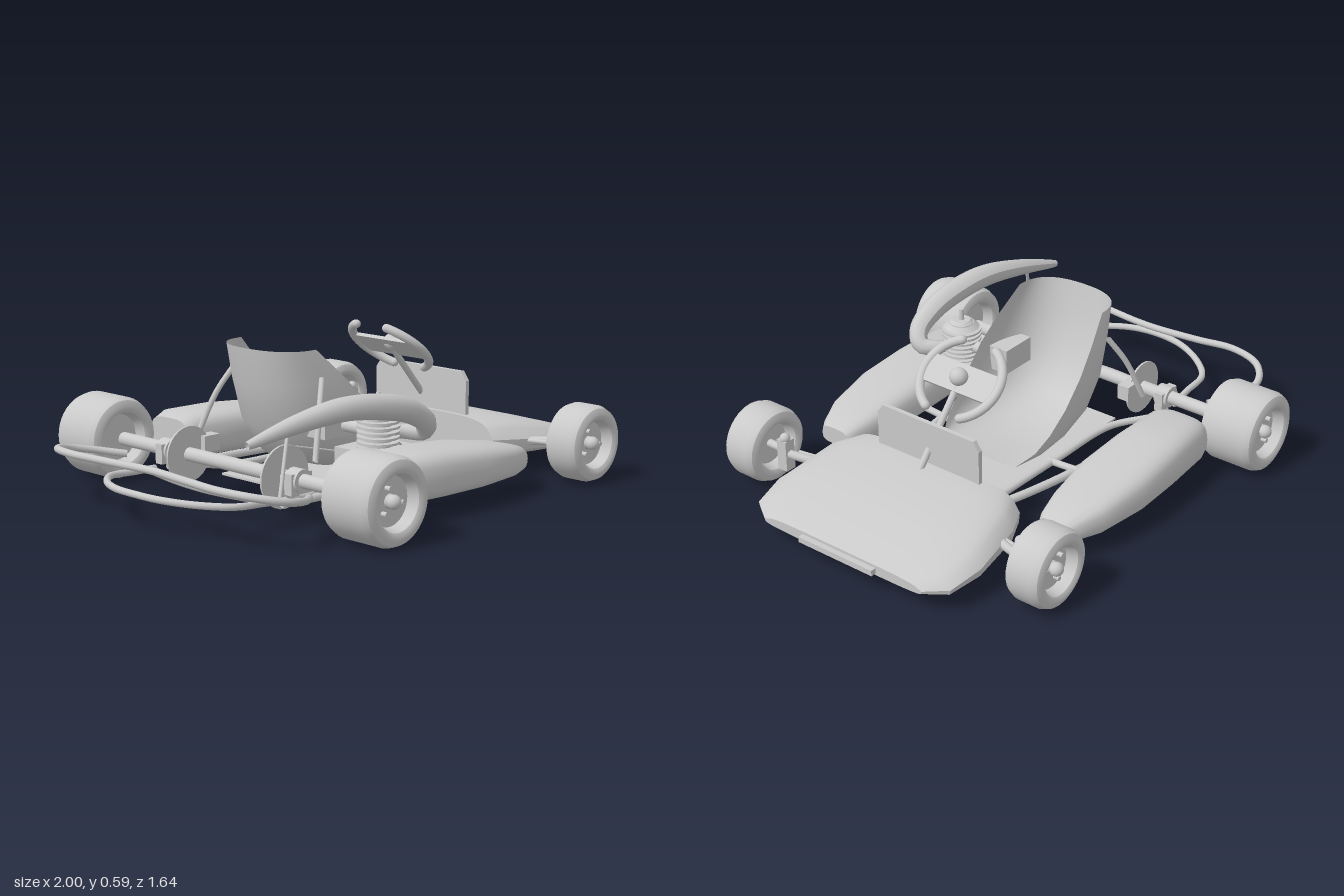
import * as THREE from 'three';
import { toCreasedNormals } from 'three/addons/utils/BufferGeometryUtils.js';

const V = (p) => new THREE.Vector3(...p);

export function createModel() {
  const kart = new THREE.Group();
  kart.name = 'goKart';
  const grey = new THREE.MeshStandardMaterial({ color: 0xcacaca, side: THREE.DoubleSide });
  grey.name = 'bodyGrey';

  function add(name, geo, pos = [0, 0, 0], parent = kart) {
    const m = new THREE.Mesh(geo, grey);
    m.name = name;
    m.position.set(...pos);
    parent.add(m);
    return m;
  }
  const box = (name, size, pos, parent) => add(name, new THREE.BoxGeometry(...size), pos, parent);

  // Round tube through points; taper(u) may vary its radius
  function tube(name, pts, r, taper) {
    const curve = new THREE.CatmullRomCurve3(pts.map(V), false, 'centripetal');
    const segs = pts.length * 7;
    const geo = new THREE.TubeGeometry(curve, segs, r, 10);
    if (taper) {
      const p = geo.attributes.position, v = new THREE.Vector3();
      for (let i = 0; i < p.count; i++) {
        const u = Math.floor(i / 11) / segs, c = curve.getPointAt(u);
        v.fromBufferAttribute(p, i).sub(c).multiplyScalar(taper(u)).add(c);
        p.setXYZ(i, v.x, v.y, v.z);
      }
      geo.computeVertexNormals();
    }
    return add(name, geo);
  }
  const mirror = (pts) => pts.map(([x, y, z]) => [x, y, -z]);
  const pair = (name, pts, r) => { tube(name, pts, r); tube(name, mirror(pts), r); };
  const across = (half) => [...half, ...mirror(half.slice(0, -1)).reverse()];
  // Straight rod
  const rod = (name, a, b, r) => tube(name, [a, V(a).lerp(V(b), 0.5).toArray(), b], r);
  // Cylinder along z
  function disc(name, r, len, pos, sides = 28) {
    add(name, new THREE.CylinderGeometry(r, r, len, sides), pos).rotation.x = Math.PI / 2;
  }

  // Surface through rings of points
  function loft(rings, closed, capped) {
    const n = rings[0].length, verts = rings.flat(2), idx = [];
    for (let i = 0; i < rings.length - 1; i++)
      for (let j = 0; j < (closed ? n : n - 1); j++) {
        const a = i * n + j, b = i * n + (j + 1) % n;
        idx.push(a, b, a + n, b, b + n, a + n);
      }
    if (capped) {
      const last = (rings.length - 1) * n;
      for (let j = 1; j < n - 1; j++) idx.push(0, j + 1, j, last, last + j, last + j + 1);
    }
    const g = new THREE.BufferGeometry();
    g.setAttribute('position', new THREE.Float32BufferAttribute(verts, 3));
    g.setIndex(idx);
    return g;
  }

  // Rounded body shell, stations are [x, bottom, top, zInner, zOuter]
  function shell(name, stations, power, lean) {
    const pw = (t) => Math.sign(t) * Math.abs(t) ** power;
    const rings = stations.map(([x, y0, y1, z0, z1]) => Array.from({ length: 28 }, (_, k) => {
      const a = k / 28 * Math.PI * 2, c = pw(Math.cos(a)), s = pw(Math.sin(a));
      const w = (z1 - z0) / 2 * (1 - lean * Math.max(0, c));
      return [x, (y0 + y1) / 2 + c * (y1 - y0) / 2, (z0 + z1) / 2 + s * w];
    }));
    add(name, toCreasedNormals(loft(rings, true, true), 0.6));
  }

  // Nose fairing
  shell('noseFairing', [
    [0.455, 0.072, 0.225, -0.39, 0.39], [0.56, 0.065, 0.225, -0.44, 0.44],
    [0.78, 0.065, 0.177, -0.475, 0.47], [0.92, 0.067, 0.137, -0.455, 0.44],
    [0.978, 0.075, 0.115, -0.375, 0.355]], 0.42, 0.12);
  box('noseLip', [0.05, 0.022, 0.34], [0.975, 0.093, 0]);

  // Side pods
  const pod = [
    [-0.365, 0.078, 0.225, 0.42, 0.64], [-0.31, 0.07, 0.245, 0.405, 0.658],
    [-0.1, 0.066, 0.24, 0.39, 0.672], [0.1, 0.066, 0.222, 0.385, 0.676],
    [0.3, 0.068, 0.19, 0.41, 0.645], [0.4, 0.072, 0.165, 0.435, 0.6], [0.43, 0.08, 0.15, 0.45, 0.58]];
  shell('leftSidePod', pod, 0.55, 0.08);
  shell('rightSidePod', pod.map(([x, a, b, z0, z1]) => [x, a, b, -z1 - 0.004, -z0 - 0.004]), 0.55, 0.08);

  // Bucket seat, stations are [centreX, centreY, rimX, rimY, halfWidth]
  const seat = [
    [-0.455, 0.57, -0.3, 0.57, 0.195], [-0.43, 0.43, -0.2, 0.475, 0.22],
    [-0.385, 0.27, -0.11, 0.385, 0.235], [-0.3, 0.15, -0.02, 0.29, 0.235],
    [-0.15, 0.1, 0.06, 0.215, 0.225], [0.03, 0.095, 0.13, 0.165, 0.21], [0.2, 0.12, 0.2, 0.13, 0.175]];
  const seatRings = seat.map(([cx, cy, rx, ry, w]) => Array.from({ length: 25 }, (_, k) => {
    const a = (k / 24 - 0.5) * Math.PI, f = 1 - Math.cos(a) ** 0.75;
    const z = w * Math.sign(a) * Math.abs(Math.sin(a)) ** 0.85;
    return [cx + (rx - cx) * f, cy + (ry - cy) * f, z];
  }));
  const seatGeo = loft(seatRings, false, false);
  seatGeo.computeVertexNormals();
  add('seat', seatGeo);
  pair('seatStay', [[-0.3, 0.47, 0.225], [-0.36, 0.36, 0.27], [-0.42, 0.2, 0.31]], 0.011);

  // Wheels: tyre with recessed rim, hub and bolts
  function wheel(name, x, y, z, r, width, side) {
    const g = new THREE.Group();
    g.name = name;
    const h = width / 2, rim = r * 0.64, d = 0.05;
    const half = [[0, h - d], [rim * 0.88, h - d], [rim, h - 0.008], [rim + 0.012, h], [r - 0.03, h], [r - 0.01, h - 0.01], [r, h - 0.035]];
    const pts = [...half.map(([a, b]) => [a, -b]), ...half.slice().reverse()].map((p) => new THREE.Vector2(...p));
    add('tyreAndRim', toCreasedNormals(new THREE.LatheGeometry(pts, 40), 0.7), [0, 0, 0], g);
    add('hub', new THREE.SphereGeometry(0.026, 16, 12), [0, h - d + 0.02, 0], g);
    add('hubBase', new THREE.CylinderGeometry(0.018, 0.03, 0.03, 16), [0, h - d + 0.005, 0], g);
    for (let k = 0; k < 3; k++) {
      const a = k * Math.PI * 2 / 3 + 0.2;
      add('bolt', new THREE.CylinderGeometry(0.009, 0.009, 0.024, 10), [Math.cos(a) * 0.05, h - d + 0.01, Math.sin(a) * 0.05], g);
    }
    g.position.set(x, y, z * side);
    g.rotation.x = side * Math.PI / 2;
    kart.add(g);
  }
  for (const side of [1, -1]) {
    wheel('rearWheel', -0.535, 0.161, 0.704, 0.157, 0.232, side);
    wheel('frontWheel', 0.66, 0.154, 0.658, 0.146, 0.152, side);
    // Front uprights and rear bearings
    box('frontUpright', [0.045, 0.125, 0.045], [0.655, 0.135, side * 0.555]);
    add('kingpin', new THREE.SphereGeometry(0.02, 14, 10), [0.66, 0.205, side * 0.55]);
    disc('stubAxle', 0.016, 0.1, [0.66, 0.154, side * 0.59], 12);
    box('bearingBlock', [0.1, 0.075, 0.035], [-0.535, 0.15, side * 0.34]);
    disc('bearingCollar', 0.042, 0.055, [-0.535, 0.16, side * 0.34]);
  }
  pair('frontAxleArm', [[0.56, 0.12, 0.36], [0.625, 0.13, 0.45], [0.66, 0.14, 0.55]], 0.017);

  // Rear axle, brake disc, caliper, sprocket and chain
  disc('rearAxle', 0.026, 1.2, [-0.535, 0.16, 0]);
  disc('brakeDisc', 0.105, 0.008, [-0.535, 0.16, -0.23]);
  disc('sprocket', 0.115, 0.008, [-0.535, 0.16, 0.272]);
  disc('engineSprocket', 0.035, 0.01, [-0.22, 0.16, 0.272]);
  rod('chainTop', [-0.54, 0.272, 0.272], [-0.22, 0.195, 0.272], 0.005);
  rod('chainBottom', [-0.54, 0.05, 0.272], [-0.22, 0.125, 0.272], 0.005);
  box('brakeCaliper', [0.075, 0.06, 0.05], [-0.44, 0.19, -0.23]);

  // Chassis rails and floor
  pair('outerRail', [[-0.5, 0.085, 0.345], [-0.3, 0.085, 0.355], [0, 0.085, 0.325], [0.25, 0.085, 0.275], [0.5, 0.085, 0.2]], 0.016);
  pair('innerRail', [[-0.54, 0.1, 0.34], [-0.48, 0.095, 0.34], [-0.32, 0.085, 0.235], [0, 0.085, 0.215], [0.5, 0.085, 0.2]], 0.014);
  pair('podSupport', [[0.03, 0.085, 0.2], [0.03, 0.09, 0.3], [0.03, 0.1, 0.42]], 0.014);
  tube('rearCrossTube', across([[-0.61, 0.09, 0.34], [-0.645, 0.09, 0.17], [-0.66, 0.09, 0]]), 0.016);
  box('floorPan', [0.9, 0.008, 0.4], [0.05, 0.067, 0]);

  // Rear bumper bars
  tube('lowerBumper', across([[-0.6, 0.1, 0.345], [-0.7, 0.105, 0.335], [-0.82, 0.113, 0.325], [-0.91, 0.12, 0.24],
    [-0.97, 0.127, 0.12], [-0.985, 0.13, 0]].map(([x, y, z]) => [x, y, z])), 0.013);
  tube('upperBumper', across([[-0.62, 0.135, 0.48], [-0.72, 0.155, 0.555], [-0.82, 0.175, 0.58], [-0.91, 0.195, 0.52],
    [-0.95, 0.203, 0.39], [-0.93, 0.2, 0.22], [-0.91, 0.2, 0]]), 0.014);

  // Engine: crankcase, finned cylinder, spark plug, intake
  box('crankcase', [0.18, 0.15, 0.17], [-0.22, 0.16, 0.38]);
  const fin = [-0.205, 0, 0.41];
  add('cylinder', new THREE.CylinderGeometry(0.05, 0.05, 0.16, 24), [fin[0], 0.3, fin[2]]);
  for (let i = 0; i < 7; i++)
    add('coolingFin', new THREE.CylinderGeometry(0.078, 0.078, 0.008, 28), [fin[0], 0.235 + i * 0.019, fin[2]]);
  add('cylinderHead', new THREE.CylinderGeometry(0.035, 0.07, 0.03, 28), [fin[0], 0.375, fin[2]]);
  add('sparkPlug', new THREE.CylinderGeometry(0.008, 0.012, 0.05, 12), [fin[0], 0.408, fin[2]]);
  disc('carburettor', 0.024, 0.12, [-0.205, 0.29, 0.29], 18);
  box('airBox', [0.15, 0.1, 0.1], [-0.235, 0.3, 0.2]);

  // Tapered exhaust and its hanger
  tube('exhaust', [[-0.18, 0.29, 0.43], [-0.12, 0.285, 0.46], [-0.085, 0.29, 0.515], [-0.11, 0.33, 0.55], [-0.2, 0.385, 0.555],
    [-0.35, 0.42, 0.545], [-0.5, 0.43, 0.525], [-0.68, 0.405, 0.495], [-0.885, 0.355, 0.458]], 0.046,
  (u) => 0.3 + 0.72 * Math.sin(Math.PI * u ** 0.85) ** 0.8);
  rod('exhaustHanger', [-0.82, 0.185, 0.545], [-0.73, 0.38, 0.49], 0.007);

  // Front panel, steering column and tie rods
  const panel = new THREE.Shape([[-0.235, 0.2], [0.235, 0.2], [0.235, 0.355], [0.21, 0.39], [-0.21, 0.39], [-0.235, 0.355]]
    .map((p) => new THREE.Vector2(...p)));
  const plate = add('frontPanel', new THREE.ExtrudeGeometry(panel, { depth: 0.018, bevelEnabled: false }), [0.474, 0, 0]);
  plate.rotation.y = Math.PI / 2;
  rod('steeringColumn', [0.3, 0.49, 0], [0.54, 0.215, 0], 0.013);
  pair('tieRod', [[0.53, 0.13, 0.03], [0.57, 0.13, 0.27], [0.62, 0.135, 0.52]], 0.009);

  // Steering wheel: two side arcs, centre plate and hub
  const wheelGroup = new THREE.Group();
  wheelGroup.name = 'steeringWheel';
  for (const side of [0, Math.PI]) {
    const arc = add('gripArc', new THREE.TorusGeometry(0.158, 0.017, 12, 28, 2.15), [0, 0, 0], wheelGroup);
    arc.rotation.z = side - 1.075;
    for (const e of [-1.075, 1.075])
      add('gripEnd', new THREE.SphereGeometry(0.017, 12, 8), [0.158 * Math.cos(side + e), 0.158 * Math.sin(side + e), 0], wheelGroup);
  }
  box('wheelPlate', [0.3, 0.11, 0.014], [0, 0, 0], wheelGroup);
  add('wheelHub', new THREE.SphereGeometry(0.034, 18, 12), [0, 0, 0.018], wheelGroup);
  wheelGroup.scale.x = 1.05;
  wheelGroup.position.set(0.3, 0.487, 0);
  wheelGroup.rotation.set(-0.88, Math.PI / 2, 0, 'YXZ');
  kart.add(wheelGroup);

  return kart;
}
